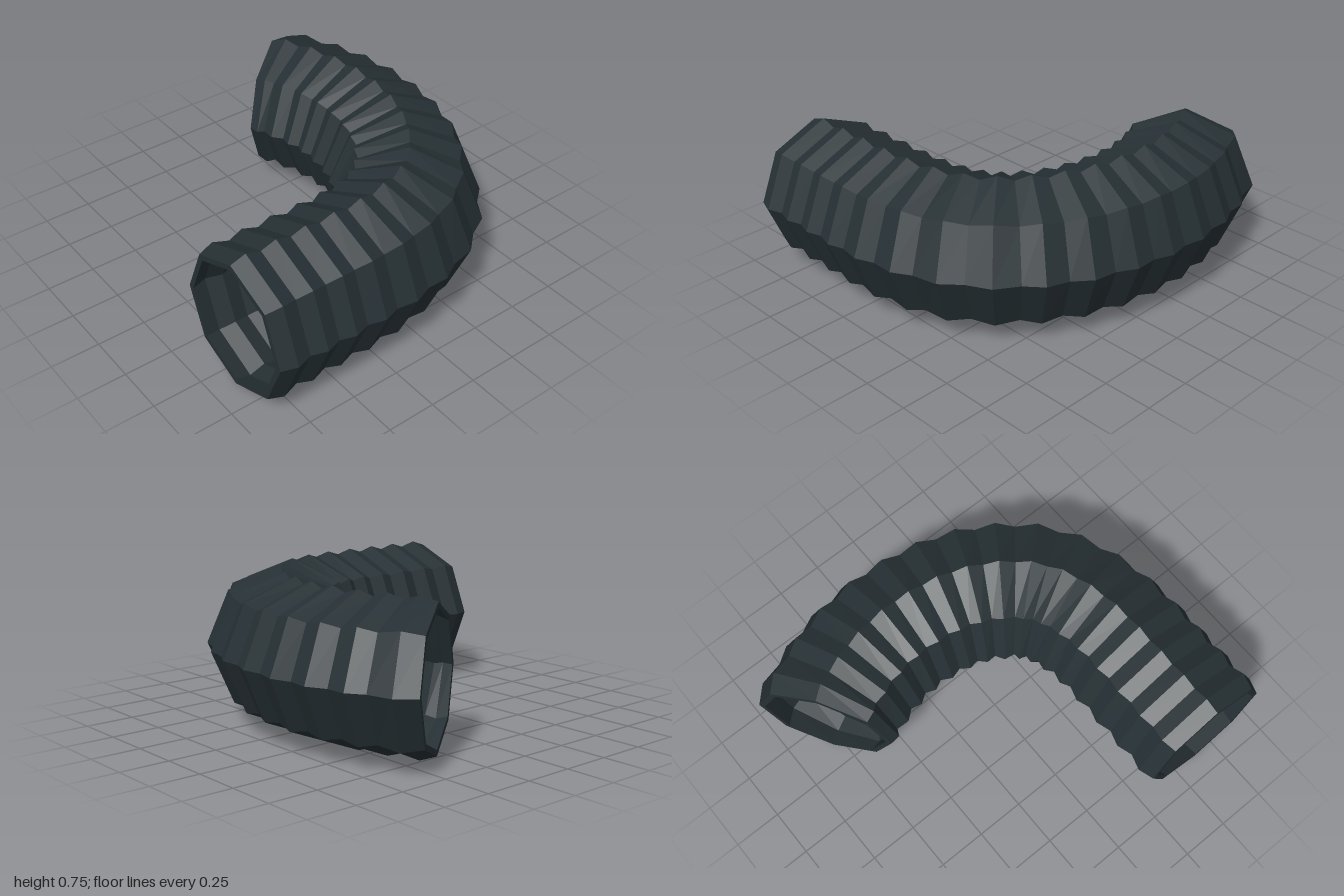
import * as THREE from 'three';

const SIDES = 8, STEPS = 32, RADIUS = 0.375, DIP = 0.025, WALL = 0.03;

// Centre line of the hose seen from above, as [x, z]
const PATH = [
  [0.627, 0.89], [0.627, 0.655], [0.627, 0.495], [0.627, 0.335], [0.62, 0.18],
  [0.594, 0.024], [0.54, -0.13], [0.45, -0.262], [0.328, -0.365], [0.19, -0.443],
  [0.04, -0.494], [-0.12, -0.52], [-0.275, -0.525], [-0.435, -0.505],
  [-0.589, -0.463], [-0.73, -0.407], [-0.8, -0.36],
];

export function createModel() {
  const curve = new THREE.CatmullRomCurve3(PATH.map(([x, z]) => new THREE.Vector3(x, RADIUS, z)));
  const up = new THREE.Vector3(0, 1, 0);
  const positions = [], indices = [];

  // One octagonal ring; even rings are valleys, odd rings are ridges
  function addRing(k, inset) {
    const p = curve.getPointAt(k / STEPS);
    const side = curve.getTangentAt(k / STEPS).cross(up).normalize();
    const r = RADIUS - inset - (k % 2 ? 0 : DIP);
    for (let j = 0; j < SIDES; j++) {
      const a = (j / SIDES) * Math.PI * 2;
      const v = p.clone().addScaledVector(side, r * Math.cos(a)).addScaledVector(up, r * Math.sin(a));
      positions.push(v.x, v.y, v.z);
    }
  }

  // Outer skin forward, inner skin back, joined by the two end rims
  for (let k = 0; k <= STEPS; k++) addRing(k, 0);
  for (let k = STEPS; k >= 0; k--) addRing(k, WALL);
  const rings = 2 * (STEPS + 1);
  for (let k = 0; k < rings; k++) {
    for (let j = 0; j < SIDES; j++) {
      const k2 = (k + 1) % rings, j2 = (j + 1) % SIDES;
      const a = k * SIDES + j, b = k2 * SIDES + j, c = k2 * SIDES + j2, d = k * SIDES + j2;
      indices.push(a, b, c, a, c, d);
    }
  }

  const geometry = new THREE.BufferGeometry();
  geometry.setAttribute('position', new THREE.Float32BufferAttribute(positions, 3));
  geometry.setIndex(indices);
  geometry.computeVertexNormals();

  const hose = new THREE.Mesh(geometry, new THREE.MeshStandardMaterial({ color: 0x263034, flatShading: true }));
  hose.name = 'corrugatedHose';
  const group = new THREE.Group();
  group.name = 'bentHose';
  group.add(hose);
  return group;
}
